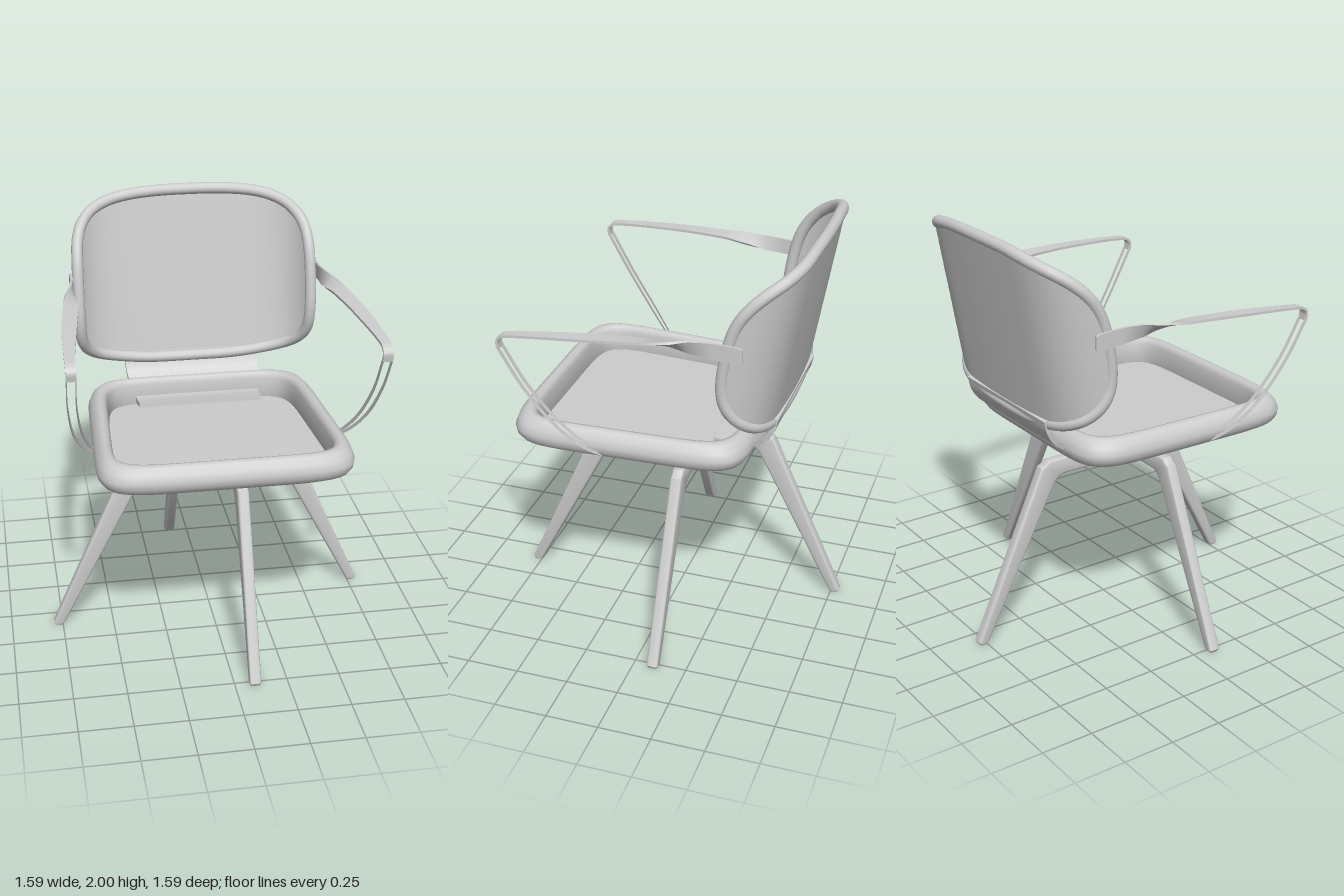
import * as THREE from 'three';
import { toCreasedNormals } from 'three/addons/utils/BufferGeometryUtils.js';

const V = (x, y, z) => new THREE.Vector3(x, y, z);

// radius of a unit rounded square in a given direction
const squircle = (t, n) =>
  1 / Math.pow(Math.pow(Math.abs(Math.cos(t)), n) + Math.pow(Math.abs(Math.sin(t)), n), 1 / n);

// disc of unit radius, moved by place(u, v) into a rounded sheet
function sheet(n, place) {
  const g = new THREE.RingGeometry(0, 1, 96, 16);
  const p = g.attributes.position;
  for (let i = 0; i < p.count; i++) {
    const k = squircle(Math.atan2(p.getY(i), p.getX(i)), n);
    const q = place(p.getX(i) * k, p.getY(i) * k);
    p.setXYZ(i, q.x, q.y, q.z);
  }
  g.computeVertexNormals();
  return g;
}

// flat bar swept through stations [centre, half-width vector]
function strip(stations, halfThick, steps = 60) {
  const path = new THREE.CatmullRomCurve3(stations.map(s => s[0]), false, 'centripetal');
  const wide = new THREE.CatmullRomCurve3(stations.map(s => s[1]), false, 'catmullrom', 0.3);
  const pos = [], idx = [];
  for (let i = 0; i <= steps; i++) {
    const t = i / steps, c = path.getPoint(t), a = wide.getPoint(t);
    const b = path.getTangent(t).cross(a).setLength(halfThick);
    for (const [m, n] of [[1, 1], [-1, 1], [-1, -1], [1, -1]]) {
      pos.push(...c.clone().addScaledVector(a, m).addScaledVector(b, n).toArray());
    }
    if (i === steps) break;
    for (let k = 0; k < 4; k++) {
      const p = i * 4 + k, q = i * 4 + (k + 1) % 4;
      idx.push(p, q, q + 4, p, q + 4, p + 4);
    }
  }
  const e = steps * 4;
  idx.push(0, 2, 1, 0, 3, 2, e, e + 1, e + 2, e, e + 2, e + 3);
  const g = new THREE.BufferGeometry();
  g.setAttribute('position', new THREE.Float32BufferAttribute(pos, 3));
  g.setIndex(idx);
  return toCreasedNormals(g, 0.6);
}

// point on the seat plan, at a given inset from the edge
function seatPoint(u, v, inset, y) {
  const z = 0.125 + (0.565 - inset) * v;
  const half = 0.577 + 0.026 * v - inset;
  return V(half * u, y + 0.014 * (z - 0.1), z);
}

// padded ring around the seat
function seatRimGeometry() {
  const profile = [[0, 1.03], [0.012, 1.065], [0.035, 1.092], [0.055, 1.1], [0.075, 1.094], [0.088, 1.07],
    [0.095, 0.975], [0.075, 0.96], [0.045, 0.96], [0.02, 0.975], [0.004, 1.0]];
  const N = 128, M = profile.length, pos = [], idx = [];
  for (let i = 0; i < N; i++) {
    const t = i / N * Math.PI * 2, k = squircle(t, 7);
    for (const [inset, y] of profile) {
      pos.push(...seatPoint(Math.cos(t) * k, Math.sin(t) * k, inset, y).toArray());
    }
    for (let j = 0; j < M; j++) {
      const a = i * M + j, b = i * M + (j + 1) % M;
      const c = ((i + 1) % N) * M + (j + 1) % M, d = ((i + 1) % N) * M + j;
      idx.push(a, b, c, a, c, d);
    }
  }
  const g = new THREE.BufferGeometry();
  g.setAttribute('position', new THREE.Float32BufferAttribute(pos, 3));
  g.setIndex(idx);
  g.computeVertexNormals();
  return g;
}

// wrap-around plan of the backrest, leaning backwards with height
const half = [[0.2, 0.005], [0.38, 0.022], [0.48, 0.065], [0.54, 0.13], [0.565, 0.18], [0.575, 0.23]];
const bend = new THREE.CatmullRomCurve3([
  ...half.map(([x, z]) => V(-x, 0, z)).reverse(), V(0, 0, 0), ...half.map(([x, z]) => V(x, 0, z))]);
function backPoint(u, v, behind) {
  const s = THREE.MathUtils.clamp((u + 1) / 2, 0, 1);
  const p = bend.getPointAt(s), t = bend.getTangentAt(s);
  const y = 1.557 + 0.415 * v;
  return V(p.x + t.z * behind, y, p.z - t.x * behind - 0.517 - 0.178 * (y - 1.1));
}

export function createModel() {
  const model = new THREE.Group();
  const grey = new THREE.MeshStandardMaterial({ color: 0xcccccc, side: THREE.DoubleSide });
  grey.name = 'light grey';
  const add = (name, geometry, parent = model) => {
    const mesh = new THREE.Mesh(geometry, grey);
    mesh.name = name;
    parent.add(mesh);
    return mesh;
  };

  // four splayed legs, each with its beam, set in a pinwheel
  const s = new THREE.Shape();
  s.moveTo(-0.12, 0.78);
  s.lineTo(0.29, 0.78);
  s.quadraticCurveTo(0.34, 0.78, 0.365, 0.735);
  s.lineTo(0.742, 0.01);
  s.lineTo(0.755, 0);
  s.lineTo(0.785, 0);
  s.lineTo(0.793, 0.015);
  s.lineTo(0.43, 0.835);
  s.lineTo(0.41, 0.842);
  s.lineTo(0.39, 0.862);
  s.lineTo(-0.12, 0.862);
  const legGeometry = toCreasedNormals(new THREE.ExtrudeGeometry(s, {
    depth: 0.031, bevelThickness: 0.012, bevelSize: 0.012, bevelOffset: -0.012, bevelSegments: 3, curveSegments: 8,
  }).translate(0, 0, -0.1105), 0.6);
  for (let i = 0; i < 4; i++) add('leg', legGeometry).rotation.y = i * Math.PI / 2;

  // seat
  add('seatRim', seatRimGeometry());
  add('seatPanel', sheet(7, (u, v) => seatPoint(u, -v, 0.09, 0.972)));

  // backrest
  const outline = [];
  for (let i = 0; i < 120; i++) {
    const t = i / 120 * Math.PI * 2, k = squircle(t, 2.9);
    outline.push(backPoint(Math.cos(t) * k, Math.sin(t) * k, 0));
  }
  add('backRim', new THREE.TubeGeometry(new THREE.CatmullRomCurve3(outline, true), 240, 0.028, 12, true));
  add('backPanel', sheet(2.9, (u, v) => backPoint(u, v, 0.016)));

  // bent plate joining the backrest to the seat
  const w = V(0.32, 0, 0);
  add('backBracket', strip([
    [V(0, 1.005, -0.24), V(0.305, 0, 0)], [V(0, 0.995, -0.33), V(0.31, 0, 0)], [V(0, 1.015, -0.42), w],
    [V(0, 1.065, -0.49), V(0.335, 0, 0)], [V(0, 1.12, -0.525), V(0.34, 0, 0)], [V(0, 1.18, -0.54), V(0.34, 0, 0)],
  ], 0.012, 30));

  // twisted armrest with two fine stays running under the seat
  const arm = new THREE.Group();
  arm.name = 'leftArm';
  add('armrest', strip([
    [V(0.606, 1.608, -0.455), V(0, 0.03, 0)],
    [V(0.608, 1.61, -0.43), V(0, 0.037, 0)],
    [V(0.609, 1.615, -0.33), V(0, 0.037, 0)],
    [V(0.612, 1.62, -0.23), V(0.01, 0.033, 0)],
    [V(0.627, 1.625, -0.12), V(0.03, 0.018, 0)],
    [V(0.64, 1.627, 0), V(0.036, 0.004, 0)],
    [V(0.667, 1.62, 0.25), V(0.034, 0, 0)],
    [V(0.69, 1.6, 0.55), V(0.024, 0, 0)],
    [V(0.692, 1.59, 0.61), V(0.023, 0, 0)],
    [V(0.692, 1.57, 0.631), V(0.023, 0, 0)],
    [V(0.692, 1.53, 0.628), V(0.023, 0, 0)],
  ], 0.006, 90), arm);
  const stays = [
    [[0.713, 1.54, 0.63], [0.705, 1.35, 0.52], [0.67, 1.15, 0.375], [0.6, 1.02, 0.255], [0.5, 0.955, 0.165], [0.3, 0.944, 0.06]],
    [[0.671, 1.54, 0.63], [0.665, 1.35, 0.52], [0.63, 1.15, 0.375], [0.57, 1.025, 0.26], [0.47, 0.958, 0.19], [0.32, 0.946, 0.12]],
  ];
  for (const pts of stays) {
    add('armStay', strip(pts.map((p, i) =>
      [V(...p), V(0.0025 * (1 - i / 5), 0, -0.0025 * i / 5)]), 0.007, 40), arm);
  }
  const mirrored = arm.clone();
  mirrored.name = 'rightArm';
  mirrored.scale.x = -1;
  model.add(arm, mirrored);

  return model;
}
